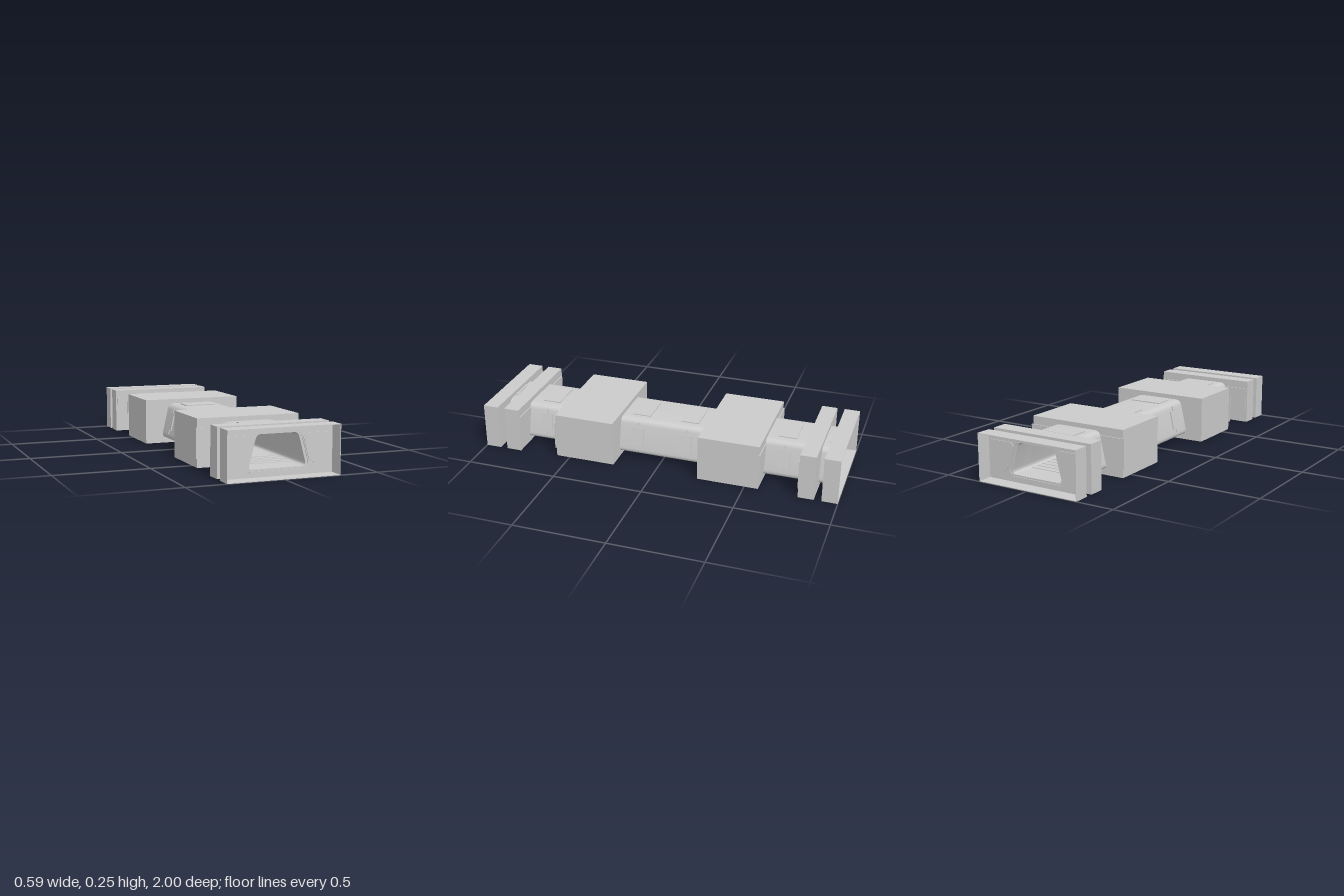
import * as THREE from 'three';
import { toCreasedNormals } from 'three/addons/utils/BufferGeometryUtils.js';

const material = new THREE.MeshStandardMaterial({ color: 0xcccccc, side: THREE.DoubleSide });

// Closed outline with each corner rounded by radius r
function outline(points, r = 0, Type = THREE.Shape) {
  const pts = points.map(p => new THREE.Vector2(...p));
  const s = new Type();
  pts.forEach((p, i) => {
    const prev = pts[(i + pts.length - 1) % pts.length];
    const next = pts[(i + 1) % pts.length];
    const a = p.clone().add(prev.clone().sub(p).setLength(r));
    const b = p.clone().add(next.clone().sub(p).setLength(r));
    if (i === 0) s.moveTo(a.x, a.y); else s.lineTo(a.x, a.y);
    if (r > 0) s.quadraticCurveTo(p.x, p.y, b.x, b.y);
  });
  s.closePath();
  return s;
}

const trapezoid = (wBottom, wTop, y0, y1) => [[-wBottom, y0], [wBottom, y0], [wTop, y1], [-wTop, y1]];
const rect = (w, y0, y1) => trapezoid(w, w, y0, y1);
const HULL = trapezoid(0.185, 0.141, 0.032, 0.226);
const BORE = trapezoid(0.153, 0.109, 0.042, 0.21);
const OPENING = trapezoid(0.168, 0.122, 0.042, 0.21);

function createModel() {
  const model = new THREE.Group();

  function add(name, geometry, x = 0, y = 0, z = 0, parent = model) {
    const mesh = new THREE.Mesh(geometry, material);
    mesh.name = name;
    mesh.position.set(x, y, z);
    parent.add(mesh);
    return mesh;
  }

  // Extrudes an outline between two z values, in either order
  function slab(name, shape, hole, za, zb, parent = model) {
    if (hole) shape.holes.push(hole);
    const geo = new THREE.ExtrudeGeometry(shape, { depth: Math.abs(zb - za), bevelEnabled: false, curveSegments: 6 });
    return add(name, toCreasedNormals(geo, 0.6), 0, 0, Math.min(za, zb), parent);
  }

  const box = (name, w, h, d, x, y, z, parent) =>
    add(name, new THREE.BoxGeometry(w, h, d), x, y, z, parent);

  // Chamfered plates either side of the hull
  function sidePlates(za, zb) {
    for (const s of [-1, 1]) {
      const pts = [[0.288, 0.048], [0.288, 0.205], [0.15, 0.205], [0.134, 0.185], [0.163, 0.078], [0.2, 0.048]]
        .map(([x, y]) => [s * x, y]);
      slab('sidePlate', outline(pts), null, za, zb);
    }
  }

  // Corridor tube
  slab('hull', outline(HULL, 0.032), outline(BORE, 0.024, THREE.Path), -0.916, 0.916);

  for (const s of [-1, 1]) {
    // Open end frame: thin rim and a back wall with the doorway
    slab('endRim', outline(rect(0.295, 0, 0.25)), outline(rect(0.292, 0.003, 0.247), 0, THREE.Path), s * 0.915, s);
    slab('endWall', outline(rect(0.293, 0.002, 0.248)), outline(OPENING, 0.03, THREE.Path), s * 0.915, s * 0.92);
    sidePlates(s * 0.92, s * 0.924);
    box('doorSill', 0.295, 0.006, 0.006, 0, 0.03, s * 0.921);

    // Collar behind the end frame
    slab('collar', outline(rect(0.295, 0, 0.25)), outline(BORE, 0.024, THREE.Path), s * 0.79, s * 0.875);
    sidePlates(s * 0.785, s * 0.79);

    // Large equipment block
    slab('block', outline(rect(0.28, 0, 0.25)), outline(BORE, 0.024, THREE.Path), s * 0.24, s * 0.575);
    sidePlates(s * 0.575, s * 0.58);

    // Clamps in the gap by the end frame
    box('topClamp', 0.14, 0.006, 0.012, 0, 0.228, s * 0.908);
    for (const side of [-1, 1]) {
      const clamp = box('sideClamp', 0.012, 0.09, 0.024, side * 0.166, 0.14, s * 0.893);
      clamp.rotation.z = side * 0.222;
    }

    for (const z of [0.138, 0.68]) {
      // Roof hatch
      box('roofHatch', 0.18, 0.012, 0.1, 0, 0.225, s * z);

      // Window covers with hinge pins on both sloping walls
      for (const side of [-1, 1]) {
        const cover = new THREE.Group();
        cover.name = 'windowCover';
        cover.position.set(side * 0.162, 0.135, s * z);
        cover.rotation.z = side * 0.222;
        model.add(cover);
        box('coverPanel', 0.014, 0.1, 0.066, 0, 0, 0, cover);
        box('hingePin', 0.01, 0.15, 0.008, 0, 0, 0, cover);
      }

      // Ceiling lamp
      slab('ceilingLamp', outline(trapezoid(0.02, 0.036, 0.192, 0.211)), null, s * (z - 0.05), s * (z + 0.05));
    }
  }

  // Cross slats under the hull and on the walkway
  for (const [start, end] of [[-0.77, -0.6], [-0.21, 0.21], [0.6, 0.77]]) {
    const count = Math.round((end - start) / 0.042);
    for (let i = 0; i <= count; i++) {
      const z = start + (end - start) * i / count;
      box('undersideSlat', 0.295, 0.006, 0.024, 0, 0.03, z);
      box('walkwaySlat', 0.27, 0.003, 0.024, 0, 0.043, z);
    }
  }
  return model;
}

export { createModel };
